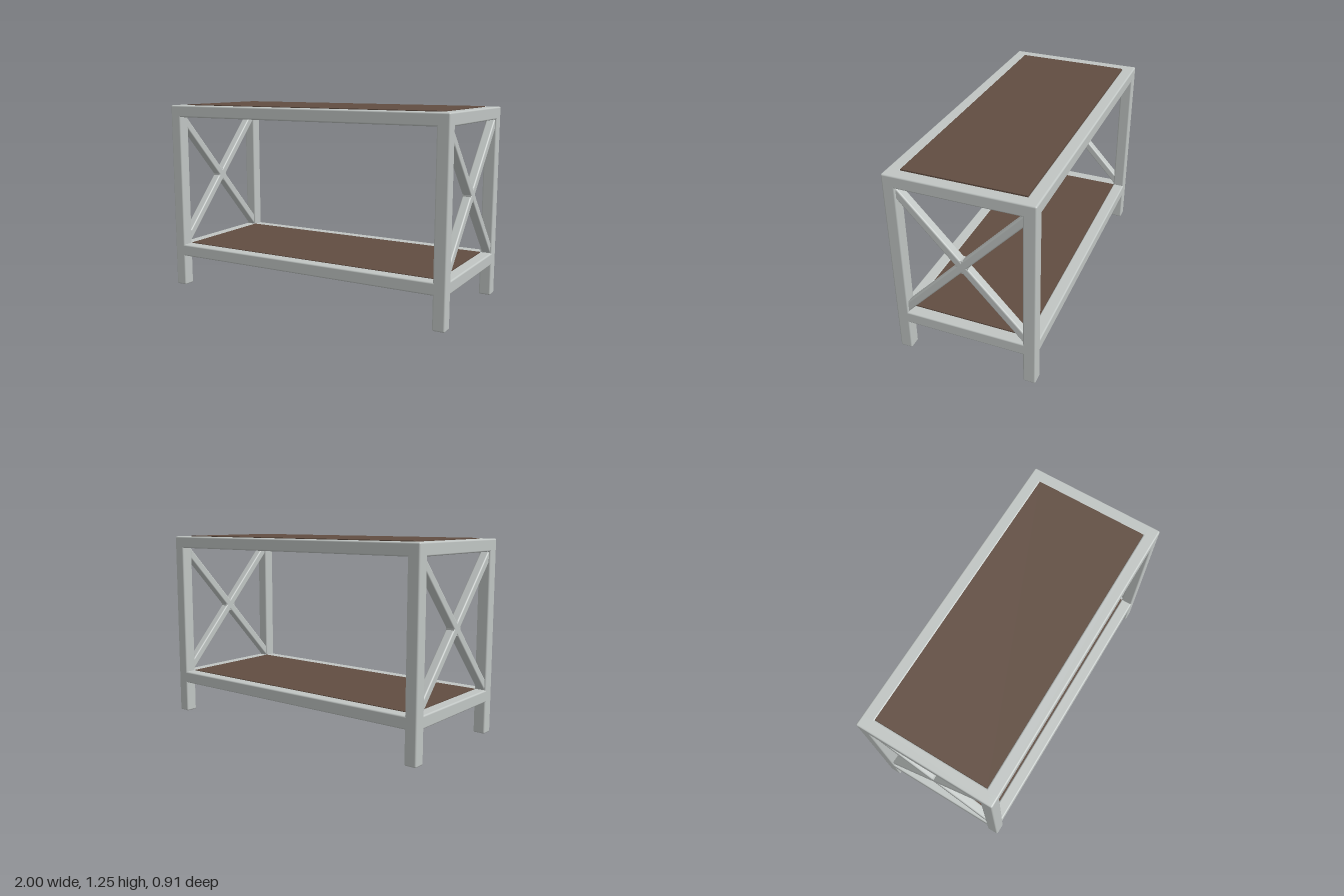
import * as THREE from 'three';
import { RoundedBoxGeometry } from 'three/addons/geometries/RoundedBoxGeometry.js';

const W = 2, D = 0.906, H = 1.248, BAR = 0.079;

export function createModel() {
  const steel = new THREE.MeshStandardMaterial({ color: 0xc0c5c3 });
  steel.name = 'grey steel';
  const wood = new THREE.MeshStandardMaterial({ color: 0x614d41 });
  wood.name = 'dark brown wood';

  const table = new THREE.Group();
  table.name = 'consoleTable';

  function add(name, geometry, material, x, y, z) {
    const mesh = new THREE.Mesh(geometry, material);
    mesh.name = name;
    mesh.position.set(x, y, z);
    table.add(mesh);
    return mesh;
  }
  const bar = (w, h, d, r = 0.01) => new RoundedBoxGeometry(w, h, d, 3, r);

  const lx = (W - BAR) / 2, lz = (D - BAR) / 2;
  const innerW = W - 2 * BAR, innerD = D - 2 * BAR;

  // Four square legs
  for (const x of [-lx, lx]) {
    for (const z of [-lz, lz]) add('leg', bar(BAR, H, BAR), steel, x, H / 2, z);
  }

  // Two rail frames, each holding a panel on a bearer at either end
  for (const [level, top, proud] of [['lower', 0.288, 0.001], ['upper', H, 0.004]]) {
    const y = top - BAR / 2;
    for (const s of [-1, 1]) {
      add(level + 'LongRail', bar(W, BAR, BAR), steel, 0, y, s * lz);
      add(level + 'SideRail', bar(BAR, BAR, D), steel, s * lx, y, 0);
      add(level + 'Bearer', new THREE.BoxGeometry(0.07, 0.045, innerD),
        steel, s * (innerW / 2 - 0.035), top - 0.0485, 0);
    }
    const thick = 0.058 + proud;
    add(level + 'Shelf', new THREE.BoxGeometry(innerW, thick, innerD),
      wood, 0, top + proud - thick / 2, 0);
  }

  // Crossed braces on both ends, with a small block at the crossing
  const run = 0.75, rise = 0.805, midY = 0.73, depth = 0.058;
  const length = Math.hypot(run, rise) * 1.06;
  for (const x of [-lx, lx]) {
    for (const s of [-1, 1]) {
      const brace = add('crossBrace', bar(depth, 0.051, length), steel, x, midY, 0);
      brace.rotation.x = s * Math.atan2(rise, run);
    }
    add('crossJoint', new THREE.BoxGeometry(depth - 0.006, 0.086, 0.08), steel, x, midY, 0);
  }

  return table;
}
